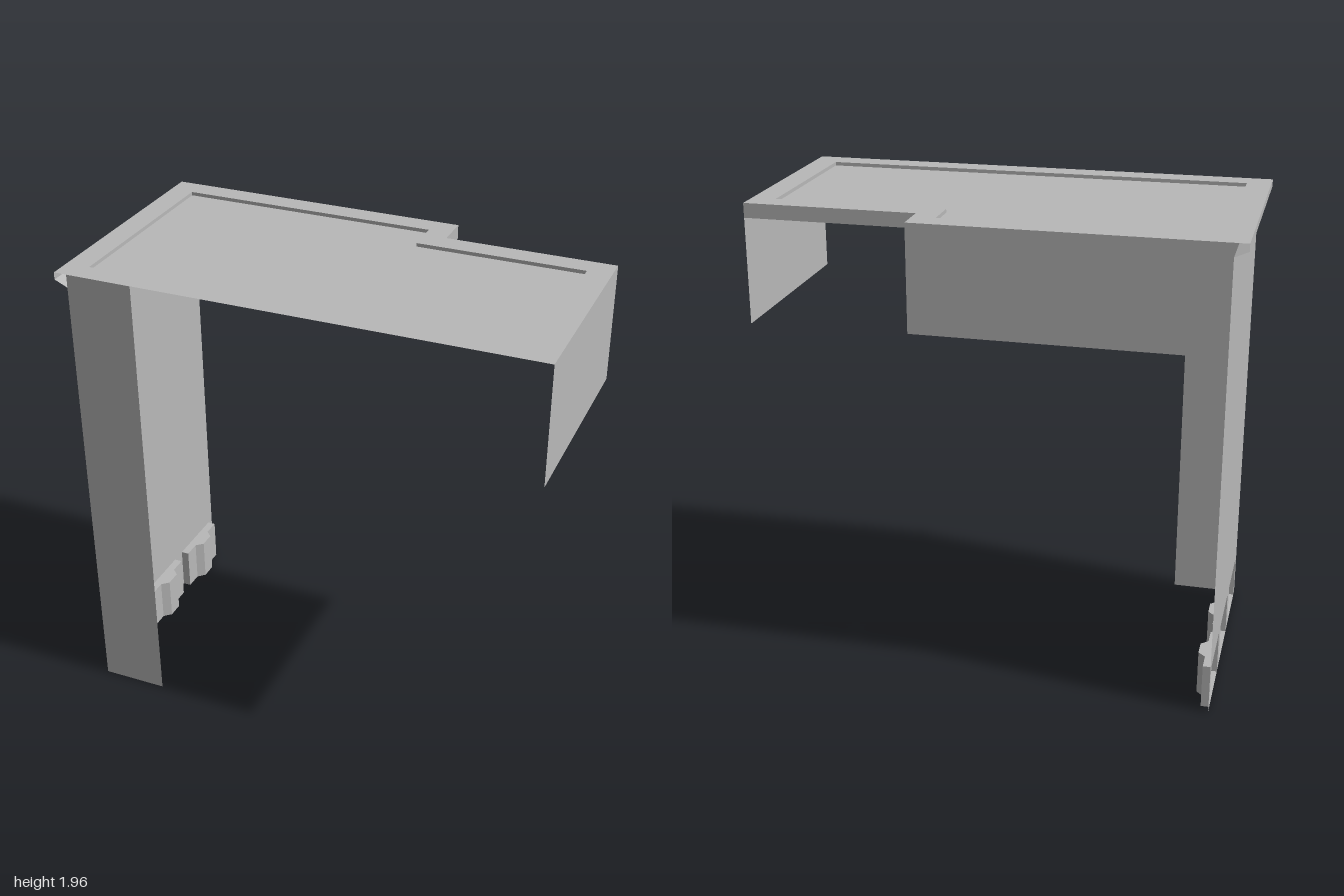
import * as THREE from 'three';

const grey = new THREE.MeshStandardMaterial({ color: 0xb8b8b8, side: THREE.DoubleSide, flatShading: true });
grey.name = 'plain grey';

const part = (name, geometry) => {
  const mesh = new THREE.Mesh(geometry, grey);
  mesh.name = name;
  return mesh;
};

// Upright sheet following a plan path of [x, z] points
function upright(path, y0, y1) {
  const pos = [];
  for (let i = 0; i + 1 < path.length; i++) {
    const [ax, az] = path[i], [bx, bz] = path[i + 1];
    pos.push(ax, y0, az, bx, y0, bz, bx, y1, bz, ax, y0, az, bx, y1, bz, ax, y1, az);
  }
  const g = new THREE.BufferGeometry();
  g.setAttribute('position', new THREE.Float32BufferAttribute(pos, 3));
  g.computeVertexNormals();
  return g;
}

// Level sheet from a plan outline of [x, z] points, with an optional hole
const planPoints = (path) => path.map(([x, z]) => new THREE.Vector2(x, -z));
function level(path, y, hole) {
  const shape = new THREE.Shape(planPoints(path));
  if (hole) shape.holes.push(new THREE.Path(planPoints(hole)));
  return new THREE.ShapeGeometry(shape).rotateX(-Math.PI / 2).translate(0, y, 0);
}

export function createModel() {
  const model = new THREE.Group();
  model.name = 'canopy';
  const top = 1.96, band = 1.905, recessY = 1.945, nicheTop = 0.187;
  const back = -0.527, front = 0.525, wallX = -0.945;

  // Roof: rim, shallow step and sunken deck
  const outer = [[-1, front], [1, 0.519], [1, -0.38], [0.29, -0.38], [0.29, back], [-1, back]];
  const inner = [[-0.9, 0.428], [0.9, 0.42], [0.9, -0.285], [0.195, -0.285], [0.195, -0.433], [-0.9, -0.433]];
  model.add(part('roofRim', level(outer, top, inner)));
  model.add(part('roofStep', upright([...inner, inner[0]], recessY, top)));
  model.add(part('roofDeck', level(inner, recessY)));

  // Left eave: narrow edge and sloping underside
  model.add(part('eaveEdge', upright([[-1, back], [-1, front]], 1.93, top)));
  const slope = new THREE.PlaneGeometry(1, 1);
  const p = slope.attributes.position;
  for (let i = 0; i < p.count; i++) {
    const outside = p.getX(i) < 0;
    p.setXYZ(i, outside ? -1 : wallX, outside ? 1.93 : band, p.getY(i) > 0 ? back : front);
  }
  slope.computeVertexNormals();
  model.add(part('eaveUnderside', slope));

  // Hanging panels and the band round the back notch
  model.add(part('frontPanel', upright([[wallX, front], [-0.665, front]], 0, top)));
  model.add(part('backPanel', upright([[wallX, back], [0.29, back]], 1.52, top)));
  model.add(part('notchBand', upright([[0.29, back], [0.29, -0.38], [1, -0.38]], band - 0.005, top)));
  model.add(part('rightPanel', upright([[1, -0.38], [1, 0.519]], 1.46, top)));

  // Left wall, with three openings along its foot
  const centres = [0.35, 0, -0.35], half = 0.141;
  const wall = new THREE.Shape();
  wall.moveTo(-front, 0);
  for (const c of centres) {
    wall.lineTo(-c - half, 0);
    wall.lineTo(-c - half, nicheTop);
    wall.lineTo(-c + half, nicheTop);
    wall.lineTo(-c + half, 0);
  }
  wall.lineTo(-back, 0);
  wall.lineTo(-back, band);
  wall.lineTo(-front, band);
  model.add(part('leftWall', new THREE.ShapeGeometry(wall).rotateY(Math.PI / 2).translate(wallX, 0, 0)));

  // Stepped niches behind the openings
  for (const c of centres) {
    const a = wallX + 0.035, b = wallX + 0.065;
    const path = [[wallX, c + half], [a, c + half], [a, c + 0.064], [b, c + 0.036],
      [b, c - 0.036], [a, c - 0.064], [a, c - half], [wallX, c - half]];
    const niche = new THREE.Group();
    niche.name = 'footNiche';
    niche.add(part('nicheWall', upright(path, 0, nicheTop)));
    niche.add(part('nicheFloor', level(path, 0)));
    niche.add(part('nicheTop', level(path, nicheTop)));
    model.add(niche);
  }
  return model;
}
